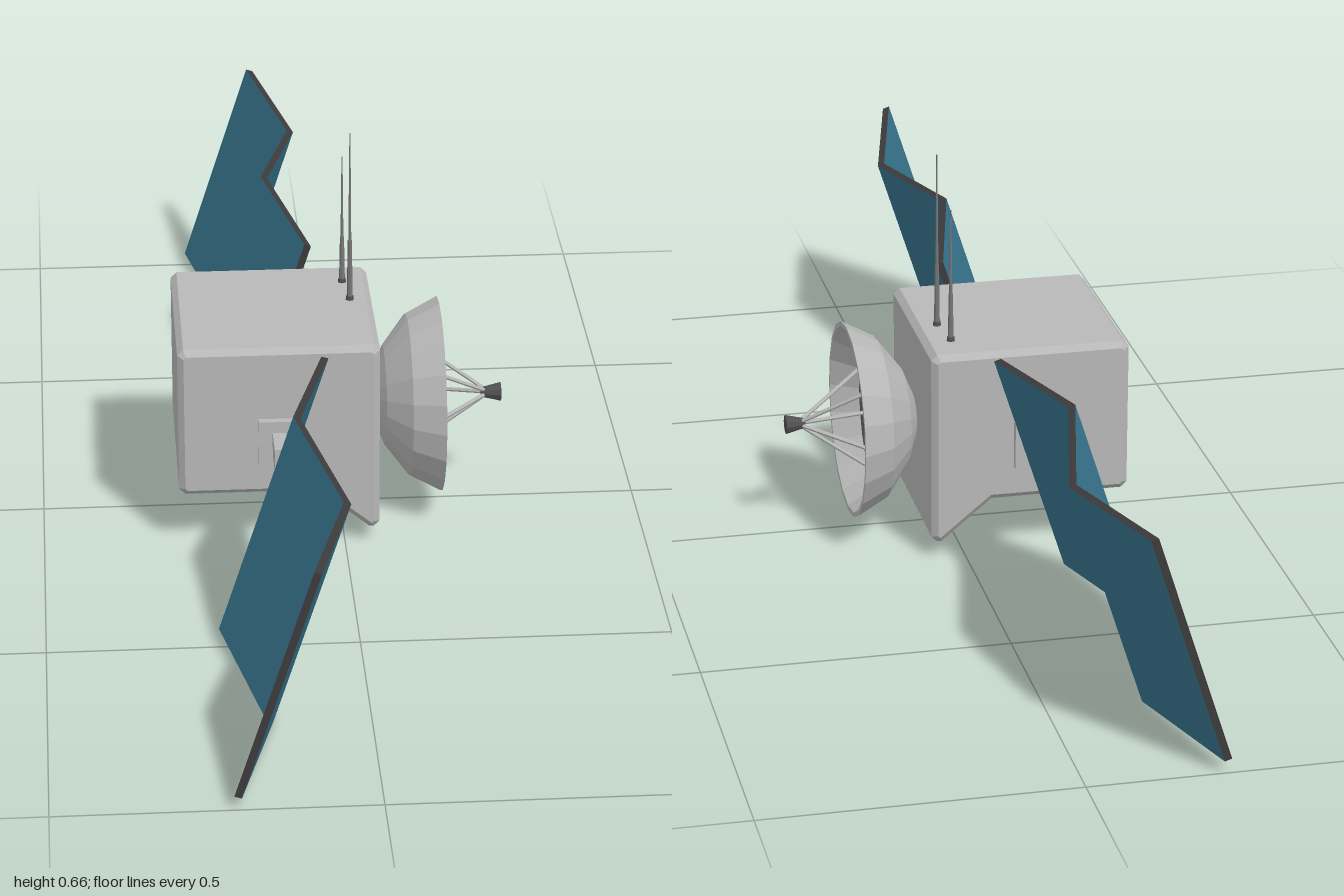
import * as THREE from 'three';

const mat = (name, color, extra = {}) => {
  const m = new THREE.MeshStandardMaterial({ color, flatShading: true, ...extra });
  m.name = name;
  return m;
};

export function createModel() {
  const grey = mat('hull grey', 0xb8b8b8);
  const dark = mat('dark grey', 0x505050);
  const steel = mat('antenna steel', 0x777777);
  const edge = mat('panel edge', 0x3c3a3a);
  const blue = mat('solar blue', 0x387690);

  const model = new THREE.Group();
  model.name = 'satellite';
  const add = (name, geo, material, parent = model) => {
    const m = new THREE.Mesh(geo, material);
    m.name = name;
    parent.add(m);
    return m;
  };

  // Hull: chamfered side profile, bevelled across the width
  const b = 0.01;
  const outline = [
    [-0.265, 0.102], [-0.045, 0.102], [0.04, 0.032], [0.048, 0.032], [0.057, 0.041],
    [0.057, 0.355], [0.047, 0.365], [-0.265, 0.365], [-0.275, 0.355], [-0.275, 0.112],
  ].map(([x, y]) => new THREE.Vector2(x, y));
  const hull = new THREE.ExtrudeGeometry(new THREE.Shape(outline), {
    depth: 0.33 - 2 * b, bevelEnabled: true, bevelSegments: 1,
    bevelSize: b, bevelThickness: b, bevelOffset: -b,
  });
  hull.translate(0, 0, -0.165 + b);
  add('hull', hull, grey);

  // Dish assembly, axis along +x
  const dish = new THREE.Group();
  dish.name = 'dish';
  dish.position.set(0, 0.198, 0);
  dish.rotation.z = -Math.PI / 2;
  model.add(dish);
  const lathe = (pts) => new THREE.LatheGeometry(pts.map(([r, y]) => new THREE.Vector2(r, y)), 20);
  add('dishShell', lathe([[0, 0.05], [0.037, 0.056], [0.084, 0.075], [0.137, 0.115],
    [0.165, 0.168], [0.157, 0.168], [0.128, 0.123]]), grey);
  add('dishInterior', lathe([[0.128, 0.123], [0.08, 0.086], [0.035, 0.068], [0, 0.064]]), dark);
  const horn = add('feedHorn', new THREE.CylinderGeometry(0.016, 0.008, 0.033, 10), dark, dish);
  horn.position.y = 0.2565;
  dish.add(model.getObjectByName('dishShell'), model.getObjectByName('dishInterior'));

  // Five struts holding the feed horn
  const up = new THREE.Vector3(0, 1, 0);
  for (let i = 0; i < 5; i++) {
    const a = (i / 5) * Math.PI * 2;
    const from = new THREE.Vector3(Math.cos(a) * 0.109, 0.105, Math.sin(a) * 0.109);
    const to = new THREE.Vector3(Math.cos(a) * 0.004, 0.248, Math.sin(a) * 0.004);
    const dir = to.clone().sub(from);
    const strut = add('feedStrut', new THREE.CylinderGeometry(0.0035, 0.0035, dir.length(), 6), grey, dish);
    strut.position.copy(from).add(to).multiplyScalar(0.5);
    strut.quaternion.setFromUnitVectors(up, dir.normalize());
  }

  // Whip antennas on the roof
  for (const [x, z, top] of [[0.02, -0.025, 0.664], [0.012, -0.097, 0.593]]) {
    const h = top - 0.365;
    const low = h * 0.36;
    const whip = new THREE.Group();
    whip.name = 'whipAntenna';
    whip.position.set(x, 0.365, z);
    model.add(whip);
    add('antennaBase', new THREE.CylinderGeometry(0.006, 0.007, 0.008, 8), dark, whip).position.y = 0.003;
    add('antennaSleeve', new THREE.CylinderGeometry(0.0035, 0.005, low, 8), steel, whip).position.y = low / 2;
    add('antennaRod', new THREE.CylinderGeometry(0.001, 0.0028, h - low, 6), steel, whip).position.y = (h + low) / 2;
  }

  // Folded solar wings on both sides
  const folds = [0.225, 0.483, 0.742, 1];
  for (const s of [1, -1]) {
    const side = s > 0 ? 'front' : 'rear';
    add(side + 'ArmPlate', new THREE.BoxGeometry(0.064, 0.08, 0.02), grey).position.set(-0.112, 0.2, s * 0.168);
    add(side + 'Arm', new THREE.BoxGeometry(0.022, 0.04, 0.085), grey).position.set(-0.11, 0.2, s * 0.197);

    const wing = new THREE.Group();
    wing.name = side + 'SolarWing';
    wing.position.set(-0.1285, 0.2005, 0);
    wing.rotation.z = -0.312;
    model.add(wing);
    for (let i = 0; i < 3; i++) {
      const len = folds[i + 1] - folds[i];
      const slope = (i % 2 ? 1 : -1) * s * 0.064 / len;
      const geo = new THREE.BoxGeometry(0.012, 0.391, len);
      // Shear each panel so that neighbours meet in a clean fold
      const p = geo.attributes.position;
      for (let k = 0; k < p.count; k++) p.setX(k, p.getX(k) + slope * p.getZ(k));
      geo.computeVertexNormals();
      add('solarPanel', geo, [blue, blue, edge, edge, edge, edge], wing)
        .position.z = s * (folds[i] + folds[i + 1]) / 2;
    }
  }
  return model;
}
